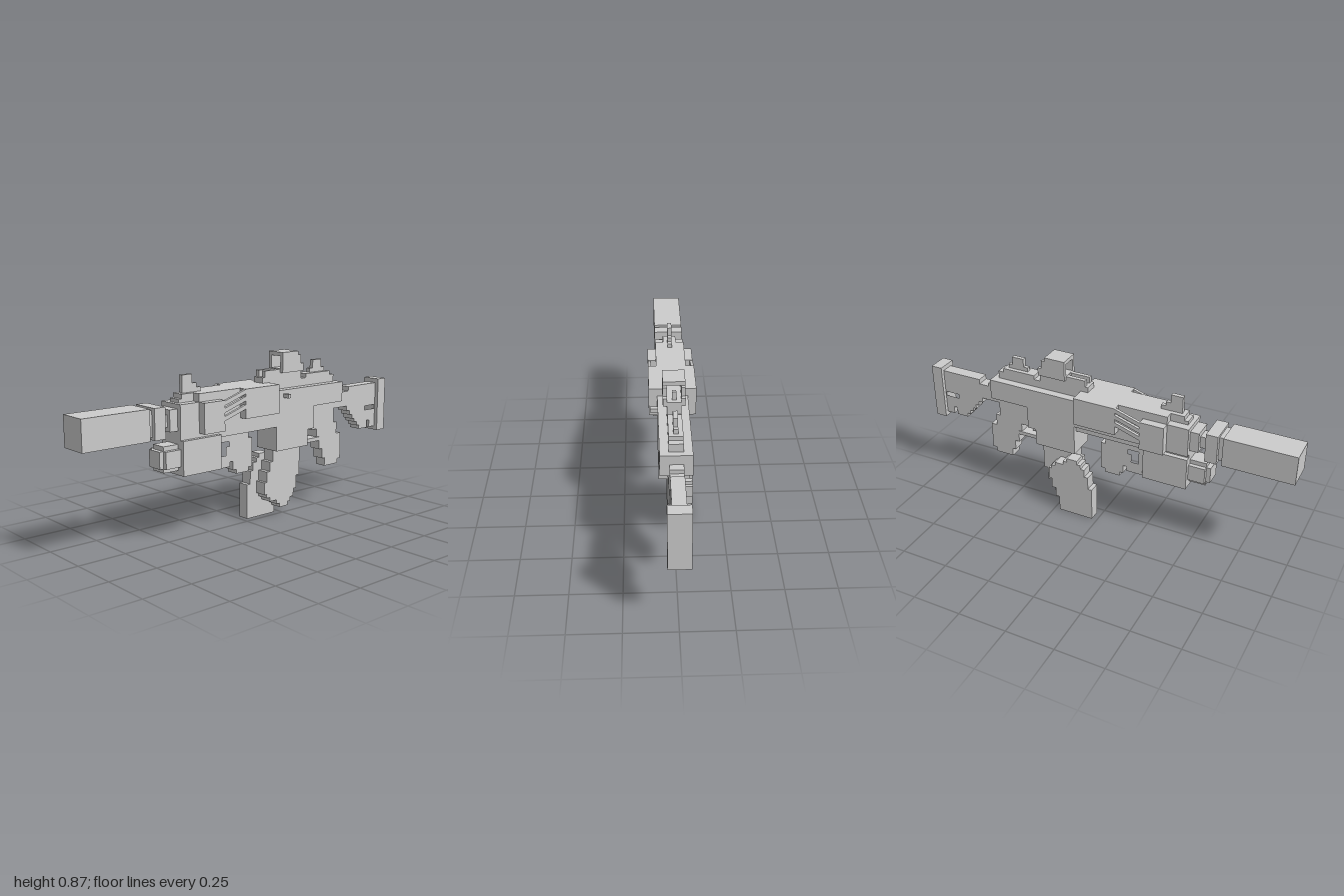
import * as THREE from 'three';

const mat = new THREE.MeshStandardMaterial({ color: 0xcccccc, flatShading: true });

export function createModel() {
  const model = new THREE.Group();

  const add = (name, geo) => {
    const m = new THREE.Mesh(geo, mat);
    m.name = name;
    model.add(m);
    return m;
  };

  // box from min/max limits
  const box = (name, x0, x1, y0, y1, z0, z1) => {
    const g = new THREE.BoxGeometry(x1 - x0, y1 - y0, z1 - z0);
    g.translate((x0 + x1) / 2, (y0 + y1) / 2, (z0 + z1) / 2);
    return add(name, g);
  };

  // side profile of [z, y] points, extruded across x
  const toVec = (pts) => pts.map(([z, y]) => new THREE.Vector2(-z, y));
  const plate = (name, x0, x1, pts, holes = []) => {
    const s = new THREE.Shape(toVec(pts));
    for (const h of holes) s.holes.push(new THREE.Path(toVec(h)));
    const g = new THREE.ExtrudeGeometry(s, { depth: x1 - x0, bevelEnabled: false });
    g.rotateY(Math.PI / 2);
    g.translate(x0, 0, 0);
    return add(name, g);
  };

  // turns corner points into a stair outline: horizontal move first, then vertical
  const stairs = (pts) => {
    const out = [pts[0]];
    for (let i = 1; i < pts.length; i++) {
      const [pz, py] = pts[i - 1], [z, y] = pts[i];
      if (pz !== z && py !== y) out.push([z, py]);
      out.push([z, y]);
    }
    return out;
  };

  // muzzle and barrel
  box('suppressor', -0.074, 0.074, 0.527, 0.677, 0.645, 1);
  box('barrelNeck', -0.052, 0.052, 0.54, 0.665, 0.62, 0.645);
  box('barrelCollar', -0.074, 0.074, 0.527, 0.677, 0.56, 0.62);
  box('barrel', -0.032, 0.032, 0.57, 0.63, 0.51, 0.56);
  box('handguardNose', -0.052, 0.052, 0.55, 0.655, 0.47, 0.52);

  // receiver core
  plate('receiver', -0.074, 0.074, [
    [0.475, 0.527], [0.475, 0.677], [-0.62, 0.677], [-0.62, 0.57], [-0.405, 0.57],
    [-0.405, 0.45], [-0.36, 0.45], [-0.36, 0.363], [-0.135, 0.363], [-0.135, 0.527],
  ]);
  plate('topStrip', -0.033, 0.033, [
    [0.455, 0.67], [0.455, 0.695], [0.435, 0.695], [0.435, 0.717],
    [-0.59, 0.717], [-0.59, 0.67],
  ]);
  box('lowerRail', -0.052, 0.072, 0.49, 0.53, -0.14, 0.475);
  box('chargingBolt', 0.07, 0.11, 0.638, 0.658, -0.2, -0.18);

  // shroud with slanted slats on both sides
  box('frontShroud', -0.115, 0.115, 0.527, 0.677, 0.24, 0.365);
  box('rearShroud', -0.115, 0.115, 0.57, 0.717, -0.115, 0.11);
  box('shroudTop', -0.074, 0.074, 0.67, 0.717, 0.11, 0.365);
  for (const x of [-0.115, 0.1]) {
    for (const b of [0.575, 0.615, 0.65]) {
      plate('slat', x, x + 0.015, [[0.245, b], [0.245, b + 0.022], [0.105, b + 0.067], [0.105, b + 0.045]]);
    }
  }

  // under-barrel launcher
  box('launcherBody', -0.075, 0.093, 0.338, 0.507, 0.245, 0.475);
  box('launcherMuzzleWide', -0.052, 0.073, 0.382, 0.465, 0.47, 0.56);
  box('launcherMuzzleTall', -0.031, 0.052, 0.361, 0.487, 0.47, 0.56);
  box('launcherMuzzleTip', -0.031, 0.052, 0.382, 0.465, 0.55, 0.582);
  plate('launcherGrip', -0.033, 0.031, [
    [0.25, 0.5], [0.02, 0.5], [0.02, 0.45], [-0.005, 0.45], [-0.005, 0.3], [0.018, 0.3],
    [0.018, 0.278], [0.1, 0.278], [0.1, 0.3], [0.12, 0.3], [0.12, 0.345], [0.14, 0.345],
    [0.14, 0.32], [0.225, 0.32], [0.225, 0.345], [0.25, 0.345],
  ], [
    [[0.205, 0.45], [0.145, 0.45], [0.145, 0.425], [0.165, 0.425], [0.165, 0.38], [0.205, 0.38]],
    [[0.025, 0.448], [0.005, 0.448], [0.005, 0.43], [0.025, 0.43]],
  ].slice(0, 1));

  // magazine and its inverted twin clamped alongside
  const mag = stairs([
    [-0.15, 0.383], [-0.342, 0.383], [-0.342, 0.2], [-0.32, 0.13], [-0.3, 0.088],
    [-0.278, 0.066], [-0.258, 0.045], [-0.2, 0.045], [-0.2, 0.066], [-0.178, 0.066],
    [-0.178, 0.088], [-0.13, 0.088], [-0.13, 0.11], [-0.108, 0.11], [-0.108, 0.13],
    [-0.092, 0.13], [-0.092, 0.195], [-0.108, 0.195], [-0.108, 0.25], [-0.13, 0.25],
    [-0.13, 0.3], [-0.15, 0.3],
  ]);
  plate('magazine', -0.033, 0.031, mag);
  plate('spareMagazine', -0.095, -0.033, mag.map(([z, y]) => [-0.37 - z, 0.383 - y]));

  // trigger guard, trigger and pistol grip
  box('triggerGuard', -0.033, 0.031, 0.363, 0.383, -0.5, -0.35);
  box('trigger', -0.012, 0.012, 0.395, 0.46, -0.415, -0.395);
  plate('pistolGrip', -0.033, 0.031, [
    [-0.4, 0.58], [-0.6, 0.58], [-0.6, 0.45], [-0.625, 0.45], [-0.625, 0.385],
    [-0.658, 0.385], [-0.658, 0.24], [-0.635, 0.24], [-0.635, 0.215], [-0.535, 0.215],
    [-0.535, 0.26], [-0.515, 0.26], [-0.515, 0.315], [-0.49, 0.315], [-0.49, 0.385],
    [-0.47, 0.385], [-0.47, 0.43], [-0.43, 0.43], [-0.43, 0.45], [-0.4, 0.45],
  ]);

  // shoulder stock with a slot and a stepped lower edge
  plate('stock', -0.033, 0.031, [
    [-0.6, 0.63], [-0.66, 0.63], [-0.66, 0.61], [-0.715, 0.61], [-0.715, 0.635],
    [-0.95, 0.635], [-0.95, 0.385], [-0.895, 0.385], [-0.895, 0.425], [-0.875, 0.425],
    [-0.875, 0.385], [-0.81, 0.385], [-0.81, 0.407], [-0.79, 0.407], [-0.79, 0.43],
    [-0.77, 0.43], [-0.77, 0.45], [-0.75, 0.45], [-0.75, 0.475], [-0.73, 0.475],
    [-0.73, 0.5], [-0.705, 0.5], [-0.705, 0.527], [-0.6, 0.527],
  ], [[[-0.855, 0.51], [-0.935, 0.51], [-0.935, 0.487], [-0.855, 0.487]]]);
  box('buttPad', -0.052, 0.052, 0.363, 0.658, -1, -0.94);

  // optic: mount, forward prongs and open frame
  box('opticMount', -0.033, 0.033, 0.71, 0.745, -0.345, -0.075);
  box('opticBase', -0.033, 0.033, 0.74, 0.778, -0.345, -0.19);
  for (const x of [-0.033, 0.012]) box('opticProng', x, x + 0.021, 0.74, 0.778, -0.2, -0.09);
  box('opticFloor', -0.052, 0.052, 0.76, 0.78, -0.345, -0.195);
  box('opticRoof', -0.052, 0.052, 0.845, 0.865, -0.305, -0.195);
  for (const x of [-0.052, 0.033]) {
    plate('opticSide', x, x + 0.019, [
      [-0.195, 0.76], [-0.195, 0.865], [-0.305, 0.865], [-0.305, 0.845],
      [-0.325, 0.845], [-0.325, 0.8], [-0.345, 0.8], [-0.345, 0.76],
    ]);
  }
  box('opticPost', -0.01, 0.01, 0.775, 0.822, -0.325, -0.305);

  // iron sights
  plate('frontSight', -0.011, 0.011, [
    [0.415, 0.71], [0.415, 0.803], [0.355, 0.803], [0.355, 0.76],
    [0.33, 0.76], [0.33, 0.738], [0.305, 0.738], [0.305, 0.71],
  ]);
  plate('rearSight', -0.011, 0.011, [
    [-0.43, 0.71], [-0.43, 0.76], [-0.453, 0.76], [-0.453, 0.803], [-0.517, 0.803],
    [-0.517, 0.76], [-0.54, 0.76], [-0.54, 0.71],
  ]);
  box('rearSightBase', -0.033, 0.033, 0.71, 0.738, -0.56, -0.38);
  return model;
}
